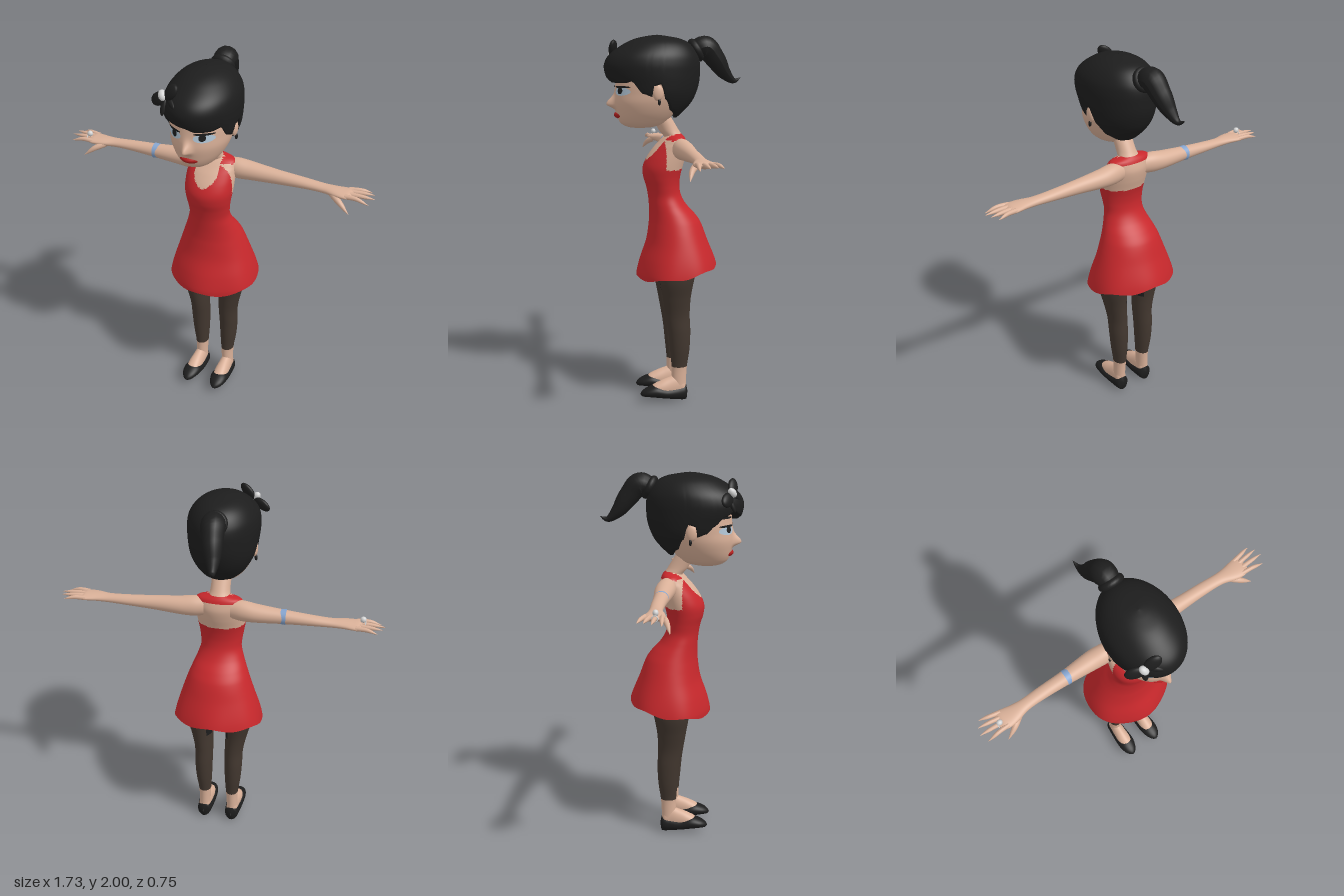
import * as THREE from 'three';

const mat = (name, color, side = THREE.FrontSide) => {
  const m = new THREE.MeshStandardMaterial({ color, side });
  m.name = name;
  return m;
};

// Interpolate a table of rows [key, ...values]; 'eased' avoids overshoot.
function sample(rows, k, eased = false) {
  const last = rows.length - 1;
  if (k <= rows[0][0]) return rows[0].slice(1);
  if (k >= rows[last][0]) return rows[last].slice(1);
  let i = 0;
  while (rows[i + 1][0] < k) i++;
  const h = rows[i + 1][0] - rows[i][0], u = (k - rows[i][0]) / h;
  const s = u * u * (3 - 2 * u);
  const slope = (j, c) => {
    const a = rows[Math.max(0, j - 1)], b = rows[Math.min(last, j + 1)];
    return (b[c] - a[c]) / (b[0] - a[0]);
  };
  return rows[i].slice(1).map((v, n) => {
    const c = n + 1, w = rows[i + 1][c];
    const base = v + (w - v) * s;
    if (eased) return base;
    return base + h * (u * (1 - u) ** 2 * slope(i, c) - u * u * (1 - u) * slope(i + 1, c));
  });
}

// Loft of elliptic sections [y, centreX, radiusX, front z, back z]; rule picks a material per face.
function loft(rows, { n = 40, m = 32, bottom, ease = (v) => v, lip = 0, rule, tweak } = {}) {
  const y0 = rows[0][0], y1 = rows[rows.length - 1][0], pos = [], buckets = [];
  for (let j = 0; j <= m; j++) for (let i = 0; i < n; i++) {
    const t = (i / n) * Math.PI * 2, low = bottom ? bottom(t) : y0;
    const inner = lip && j === 0;
    const y = low + (y1 - low) * ease(lip ? Math.max(0, j - 1) / (m - 1) : j / m);
    const [cx, rx, f, b] = sample(rows, y), k = inner ? lip : 1;
    const p = [cx + rx * k * Math.sin(t), y, (f + b) / 2 + ((f - b) / 2) * k * Math.cos(t)];
    if (tweak) tweak(p, t);
    pos.push(...p);
  }
  for (let j = 0; j < m; j++) for (let i = 0; i < n; i++) {
    const a = j * n + i, b = j * n + ((i + 1) % n), c = b + n, d = a + n;
    const mid = [0, 1, 2].map((q) => (pos[a * 3 + q] + pos[b * 3 + q] + pos[c * 3 + q] + pos[d * 3 + q]) / 4);
    const g = rule ? rule(...mid) : 0;
    (buckets[g] ??= []).push(a, b, c, a, c, d);
  }
  const geo = new THREE.BufferGeometry();
  geo.setAttribute('position', new THREE.Float32BufferAttribute(pos, 3));
  geo.setIndex(buckets.flat());
  let start = 0;
  if (rule) buckets.forEach((list, g) => { geo.addGroup(start, list.length, g); start += list.length; });
  geo.computeVertexNormals();
  return geo;
}

// Round tube through points, with a radius for each point.
function taperTube(points, radii, steps = 24) {
  const curve = new THREE.CatmullRomCurve3(points.map((p) => new THREE.Vector3(...p)));
  const geo = new THREE.TubeGeometry(curve, steps, 1, 14, false), p = geo.attributes.position;
  const table = radii.map((r, i) => [i / (radii.length - 1), r]), v = new THREE.Vector3();
  for (let i = 0; i < p.count; i++) {
    const u = Math.floor(i / 15) / steps, c = curve.getPointAt(u);
    v.fromBufferAttribute(p, i).sub(c).multiplyScalar(Math.max(0.0005, sample(table, u)[0])).add(c);
    p.setXYZ(i, v.x, v.y, v.z);
  }
  geo.computeVertexNormals();
  return geo;
}

const headRows = [
  [1.513, 0, 0.01, 0.2, 0.17], [1.518, 0, 0.045, 0.245, 0.12], [1.535, 0, 0.078, 0.283, 0.06], [1.56, 0, 0.102, 0.302, 0.03],
  [1.6, 0, 0.128, 0.315, 0], [1.65, 0, 0.149, 0.324, -0.03], [1.7, 0, 0.159, 0.32, -0.06],
  [1.75, 0, 0.165, 0.315, -0.08], [1.8, 0, 0.16, 0.31, -0.09], [1.9, 0, 0.135, 0.26, -0.06], [1.95, 0, 0.03, 0.15, 0.05]];
const nose = (x, y) => 0.042 * Math.exp(-((x / 0.022) ** 2) - ((y - 1.64) / (y < 1.64 ? 0.018 : 0.04)) ** 2);
const faceZ = (x, y) => {
  const [, rx, f, b] = sample(headRows, y);
  return (f + b) / 2 + ((f - b) / 2) * Math.sqrt(Math.max(0, 1 - (x / rx) ** 2)) + nose(x, y);
};
// Thin oval lying on the face.
function facePatch(cx, cy, rx, ry, offset, bulge = 0) {
  const geo = new THREE.RingGeometry(0.001, 1, 28, 5), p = geo.attributes.position;
  for (let i = 0; i < p.count; i++) {
    const a = p.getX(i), b = p.getY(i), x = cx + a * rx, y = cy + b * ry;
    p.setXYZ(i, x, y, faceZ(x, y) + offset + bulge * (1 - a * a - b * b));
  }
  geo.computeVertexNormals();
  return geo;
}

export function createModel() {
  const model = new THREE.Group();
  const skin = mat('skin', 0xd9b098), red = mat('dressRed', 0xc8282c, THREE.DoubleSide);
  const black = mat('black', 0x1d1d1d, THREE.DoubleSide), tights = mat('tightsBrown', 0x42372f);
  const lipRed = mat('lipRed', 0xb3201f), blue = mat('bandBlue', 0x86a5cf);
  const pearl = mat('pearl', 0xd4d4d4), shadow = mat('eyeBlue', 0xb4c8d8);
  const add = (name, geo, material, parent = model) => {
    const mesh = new THREE.Mesh(geo, material);
    mesh.name = name;
    parent.add(mesh);
    return mesh;
  };
  const ball = (name, p, s, material, parent) => {
    const mesh = add(name, new THREE.SphereGeometry(1, 24, 16), material, parent);
    mesh.position.set(...p);
    mesh.scale.set(...s);
    return mesh;
  };

  // Head, neck and face
  add('head', loft(headRows, { n: 160, m: 100, tweak: (p, t) => { if (Math.cos(t) > 0) p[2] += nose(p[0], p[1]); } }), skin);
  add('neck', loft([[1.4, 0, 0.08, 0.06, -0.06], [1.46, 0, 0.06, 0.055, -0.047], [1.5, 0, 0.052, 0.085, -0.022],
    [1.57, 0, 0.052, 0.12, 0.02]]), skin);
  add('lips', facePatch(0, 1.582, 0.048, 0.016, 0.003, 0.012), lipRed);
  for (const s of [1, -1]) {
    add('eyeShadow', facePatch(s * 0.078, 1.71, 0.046, 0.022, 0.003), shadow);
    add('iris', facePatch(s * 0.074, 1.714, 0.016, 0.018, 0.005), black);
    add('eyelash', facePatch(s * 0.08, 1.733, 0.046, 0.006, 0.006), black);
    add('eyebrow', facePatch(s * 0.08, 1.776, 0.042, 0.006, 0.004), black);
    ball('ear', [s * 0.162, 1.705, 0.115], [0.016, 0.042, 0.028], skin);
    ball('earring', [s * 0.17, 1.658, 0.11], [0.008, 0.016, 0.008], black);
  }

  // Hair cap with fringe, sideburns and ear notches along its lower edge
  const side = [[66, 1.7], [78, 1.685], [82, 1.74], [93, 1.75], [98, 1.67], [112, 1.61], [140, 1.575], [180, 1.565]];
  const edge = [...side.map(([a, y]) => [-a, y]).reverse(), [-58, 1.74], [-48, 1.785], [-33, 1.81], [-18, 1.79],
    [0, 1.78], [20, 1.755], [40, 1.755], [55, 1.765], ...side];
  const hairRows = [[1.565, 0, 0.08, 0.1, -0.005], [1.6, 0, 0.12, 0.2, -0.045], [1.65, 0, 0.152, 0.28, -0.09],
    [1.7, 0, 0.172, 0.32, -0.115], [1.75, 0, 0.18, 0.348, -0.13], [1.8, 0, 0.185, 0.37, -0.135], [1.85, 0, 0.185, 0.374, -0.135],
    [1.9, 0, 0.172, 0.345, -0.122], [1.95, 0, 0.134, 0.275, -0.085], [1.98, 0, 0.088, 0.21, -0.03], [1.995, 0, 0.04, 0.14, 0.05], [2, 0, 0.002, 0.096, 0.092]];
  add('hair', loft(hairRows, {
    n: 144, m: 40, lip: 0.8, ease: (v) => Math.sin((v * Math.PI) / 2),
    bottom: (t) => sample(edge, THREE.MathUtils.radToDeg(t > Math.PI ? t - Math.PI * 2 : t), true)[0],
  }), black);
  add('ponytail', taperTube([[0, 1.9, -0.08], [-0.01, 1.935, -0.165], [-0.02, 1.875, -0.225], [-0.035, 1.8, -0.28],
    [-0.045, 1.757, -0.335], [-0.053, 1.773, -0.373]], [0.03, 0.06, 0.056, 0.046, 0.026, 0.001], 40), black);
  const tie = add('hairTie', new THREE.TorusGeometry(0.045, 0.021, 12, 28), black);
  tie.position.set(-0.005, 1.92, -0.115);
  tie.rotation.x = 0.5;

  // Bow clip with a bead
  const bow = new THREE.Group();
  bow.name = 'hairBow';
  bow.position.set(-0.115, 1.9, 0.3);
  bow.rotation.set(-0.4, -0.5, 0.45);
  model.add(bow);
  for (const s of [1, -1]) {
    const wing = ball('bowLoop', [s * 0.05, 0, 0.008], [0.052, 0.034, 0.018], black, bow);
    wing.rotation.z = s * 0.25;
    ball('bowTail', [s * 0.03, -0.045, 0], [0.016, 0.045, 0.012], black, bow).rotation.z = s * 0.5;
  }
  ball('bowBead', [0, 0, 0.022], [0.02, 0.028, 0.02], pearl, bow);

  // Torso and dress: scooped front, bare upper back, straps meeting behind the neck
  const torso = [[0.69, 0, 0.25, 0.207, -0.24], [0.73, 0, 0.248, 0.205, -0.235], [0.8, 0, 0.232, 0.188, -0.217],
    [0.9, 0, 0.2, 0.155, -0.178], [1, 0, 0.165, 0.14, -0.14], [1.05, 0, 0.145, 0.138, -0.105], [1.1, 0, 0.125, 0.14, -0.06],
    [1.15, 0, 0.111, 0.145, -0.033], [1.2, 0, 0.114, 0.155, -0.024], [1.25, 0, 0.122, 0.17, -0.028], [1.3, 0, 0.13, 0.173, -0.04],
    [1.35, 0, 0.132, 0.153, -0.055], [1.4, 0, 0.131, 0.118, -0.065], [1.43, 0, 0.129, 0.09, -0.062],
    [1.465, 0, 0.113, 0.055, -0.05], [1.482, 0, 0.05, 0.03, -0.035]];
  add('dressAndShoulders', loft(torso, {
    n: 160, m: 130,
    bottom: (t) => 0.734 - 0.033 * Math.cos(t) + 0.007 * Math.cos(6 * t),
    rule: (x, y, z) => {
      const scoop = y > 1.34 && z > 0.01 && Math.abs(x) < 0.062 * Math.min(1, Math.sqrt((y - 1.34) / 0.05));
      return scoop || (y > 1.295 && y < 1.45 && z < 0.066) ? 1 : 0;
    },
    tweak: (p, t) => {
      const k = 1 + 0.02 * Math.cos(6 * t) * Math.max(0, 1 - (p[1] - 0.7) / 0.25);
      p[0] *= k;
      p[2] *= k;
    },
  }), [red, skin]);
  ball('briefs', [0, 0.86, -0.02], [0.16, 0.13, 0.12], black);

  // Arm with hand, built on the left and mirrored
  const arm = new THREE.Group();
  arm.name = 'leftArm';
  add('armAndHand', loft([[0.07, -1.41, 0.05, 0.03, -0.055], [0.13, -1.408, 0.055, 0.035, -0.068], [0.2, -1.405, 0.049, 0.03, -0.072],
    [0.35, -1.402, 0.037, 0.018, -0.06], [0.5, -1.4, 0.027, 0.012, -0.056], [0.6, -1.398, 0.022, 0.015, -0.052],
    [0.66, -1.398, 0.021, 0.032, -0.057], [0.7, -1.398, 0.019, 0.039, -0.065], [0.74, -1.398, 0.015, 0.036, -0.068],
    [0.76, -1.398, 0.002, 0.01, -0.04]], { m: 60 }).rotateZ(-Math.PI / 2), skin, arm);
  const fingers = [[-0.055, 0.832, 1.396, -0.079], [-0.03, 0.855, 1.402, -0.046], [-0.003, 0.866, 1.4, -0.009], [0.024, 0.845, 1.388, 0.034]];
  for (const [z, x, y, tipZ] of fingers)
    add('finger', taperTube([[0.72, 1.4, z], [0.78, 1.403, (z + tipZ) / 2], [x - 0.008, y, tipZ], [x, y - 0.001, tipZ]],
      [0.013, 0.0115, 0.009, 0.001]), skin, arm);
  add('thumb', taperTube([[0.65, 1.392, 0.01], [0.7, 1.37, 0.042], [0.745, 1.336, 0.06], [0.757, 1.327, 0.064]],
    [0.017, 0.016, 0.011, 0.001]), skin, arm);

  // Leg with tights, foot and shoe, built on the left and mirrored
  const leg = new THREE.Group();
  leg.name = 'leftLeg';
  add('leg', loft([[0.07, 0.083, 0.032, 0.03, -0.048], [0.13, 0.082, 0.032, 0.03, -0.05], [0.2, 0.081, 0.035, 0.031, -0.055],
    [0.3, 0.085, 0.045, 0.04, -0.068], [0.4, 0.087, 0.05, 0.05, -0.072], [0.5, 0.088, 0.052, 0.066, -0.068], [0.6, 0.099, 0.061, 0.083, -0.072],
    [0.7, 0.11, 0.075, 0.1, -0.088], [0.8, 0.105, 0.083, 0.105, -0.11], [0.9, 0.09, 0.085, 0.1, -0.12]], {
    n: 64, m: 83,
    rule: (x, y) => (y < 0.2 ? 0 : y > 0.76 || (y > 0.6 && x < 0.06) ? 2 : 1),
  }), [skin, tights, black], leg);
  // Sections run heel to toe: [z, centre x, half width, -sole, -top]
  add('foot', loft([[-0.046, 0.083, 0.015, -0.04, -0.11], [-0.035, 0.083, 0.028, -0.03, -0.13], [0, 0.083, 0.033, -0.02, -0.15],
    [0.05, 0.084, 0.037, -0.025, -0.137], [0.1, 0.085, 0.038, -0.035, -0.118], [0.14, 0.085, 0.03, -0.045, -0.095],
    [0.16, 0.085, 0.003, -0.06, -0.065]]).rotateX(Math.PI / 2), skin, leg);
  add('shoe', loft([[-0.057, 0.083, 0.004, -0.04, -0.06], [-0.053, 0.083, 0.024, -0.012, -0.088], [-0.04, 0.083, 0.037, -0.005, -0.096],
    [0, 0.083, 0.043, -0.009, -0.09], [0.06, 0.084, 0.048, -0.018, -0.086], [0.12, 0.086, 0.05, -0.028, -0.1],
    [0.17, 0.088, 0.038, -0.036, -0.085], [0.198, 0.088, 0.018, -0.04, -0.067], [0.207, 0.088, 0.001, -0.051, -0.053]],
    { m: 40 }).rotateX(Math.PI / 2), black, leg);

  for (const limb of [arm, leg]) {
    const other = limb.clone();
    other.name = limb.name.replace('left', 'right');
    other.scale.x = -1;
    model.add(limb, other);
  }

  // Armband and ring on the right arm
  const band = add('armband', new THREE.CylinderGeometry(0.0405, 0.039, 0.03, 32, 1, true), blue);
  band.position.set(-0.347, 1.402, -0.021);
  band.rotation.z = Math.PI / 2;
  const ring = add('ringBand', new THREE.TorusGeometry(0.014, 0.003, 8, 20), pearl);
  ring.position.set(-0.765, 1.402, -0.005);
  ring.rotation.y = Math.PI / 2;
  ball('ringBead', [-0.752, 1.427, -0.003], [0.016, 0.016, 0.014], pearl);
  return model;
}
